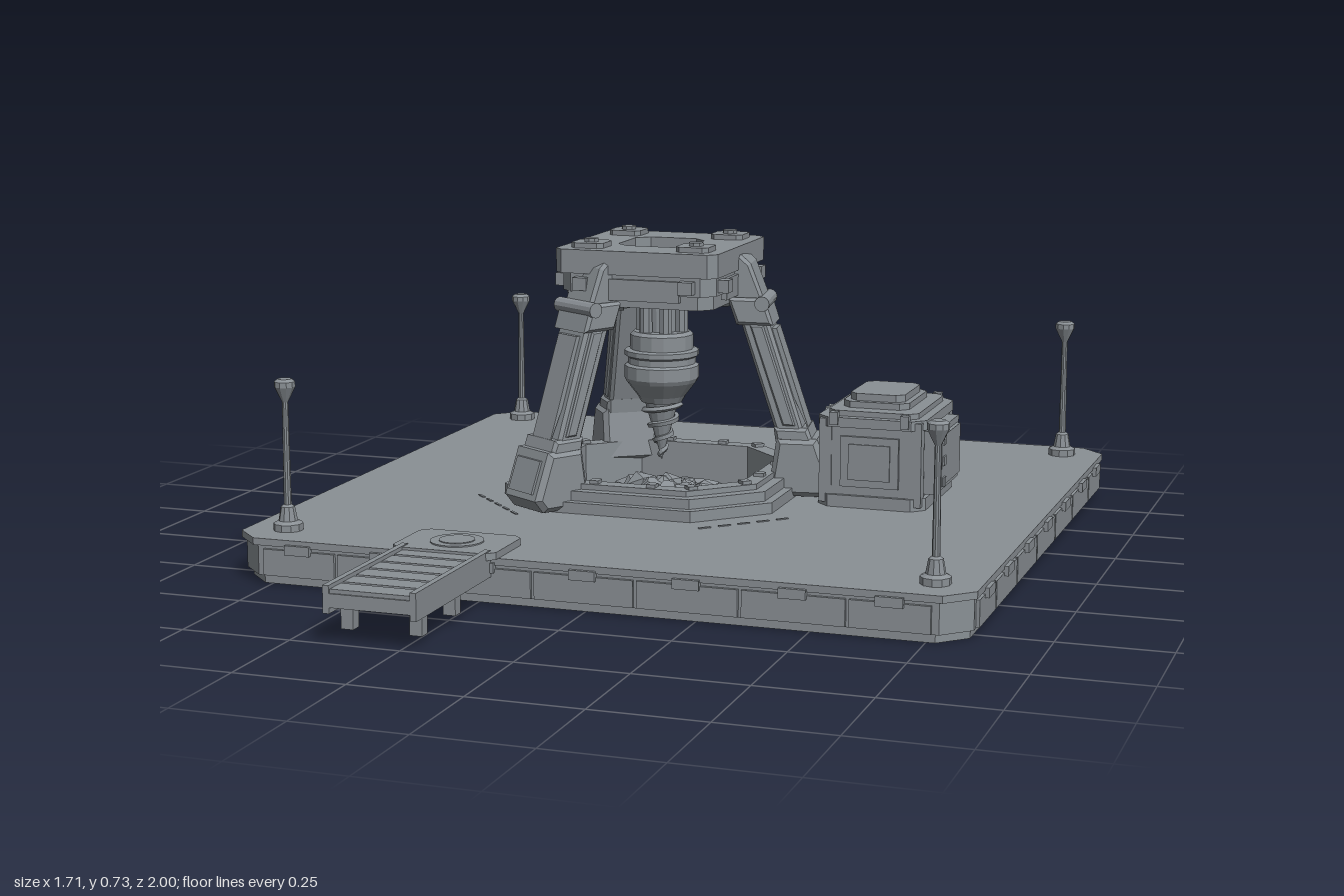
import * as THREE from 'three';

const metal = new THREE.MeshStandardMaterial({ color: 0x8a9095 });
metal.name = 'grey metal';

function add(parent, name, geo, x = 0, y = 0, z = 0) {
  const m = new THREE.Mesh(geo.index ? geo.toNonIndexed() : geo, metal);
  if (geo.userData.flat !== false) m.geometry.computeVertexNormals();
  m.name = name;
  m.position.set(x, y, z);
  parent.add(m);
  return m;
}
const box = (p, name, w, h, d, x, y, z) => add(p, name, new THREE.BoxGeometry(w, h, d), x, y, z);
function cyl(p, name, rt, rb, h, x, y, z, n = 12) {
  const g = new THREE.CylinderGeometry(rt, rb, h, n);
  g.userData.flat = n < 16;
  const m = add(p, name, g, x, y, z);
  if (n >= 16) m.geometry = g;
  return m;
}

// Corner points of a rectangle with cut corners
const cut = (hx, hz, c, x = 0, z = 0) => [
  [hx - c, -hz], [hx, c - hz], [hx, hz - c], [hx - c, hz],
  [c - hx, hz], [-hx, hz - c], [-hx, c - hz], [c - hx, -hz],
].map(([a, b]) => new THREE.Vector2(a + x, b + z));

// Horizontal plate between two heights, with an optional hole
function slab(p, name, pts, y0, y1, hole) {
  const s = new THREE.Shape(pts);
  if (hole) s.holes.push(new THREE.Path(hole));
  const g = new THREE.ExtrudeGeometry(s, { depth: y1 - y0, bevelEnabled: false });
  g.rotateX(Math.PI / 2);
  return add(p, name, g, 0, y1, 0);
}

// Upright profile given width along z
function profile(p, name, pts, width, bevel = 0.008) {
  const g = new THREE.ExtrudeGeometry(new THREE.Shape(pts.map(q => new THREE.Vector2(...q))), {
    depth: width - 2 * bevel, bevelEnabled: bevel > 0, bevelThickness: bevel,
    bevelSize: bevel, bevelOffset: -bevel, bevelSegments: 1 });
  g.translate(0, 0, bevel - width / 2);
  return add(p, name, g);
}

const CX = -0.095, CZ = -0.182, PZ = -0.19;

function platform(root) {
  const g = new THREE.Group();
  g.name = 'platform';
  const pit = cut(0.25, 0.25, 0.11, CX, CZ);
  slab(g, 'underside', cut(0.83, 0.78, 0.06, 0, PZ), 0, 0.02);
  slab(g, 'pitFloor', cut(0.27, 0.27, 0.11, CX, CZ), 0.02, 0.04);
  slab(g, 'platformBody', cut(0.84, 0.79, 0.06, 0, PZ), 0.02, 0.09, pit);
  slab(g, 'deck', cut(0.848, 0.798, 0.06, 0, PZ), 0.09, 0.106, pit);
  // side panels with clips
  for (const [count, half, other, turn] of [[7, 0.84, 0.79, 0], [7, 0.79, 0.84, 1]]) {
    for (const s of [-1, 1]) {
      const side = new THREE.Group();
      side.name = 'sidePanels';
      side.position.z = PZ;
      side.rotation.y = turn * Math.PI / 2 + (s < 0 ? Math.PI : 0);
      const step = (2 * half - 0.04) / count;
      for (let i = 0; i < count; i++) {
        const x = (i - (count - 1) / 2) * step, end = i === 0 || i === count - 1;
        const w = step - (end ? 0.06 : 0.008), sx = x + (end ? -Math.sign(x) * 0.026 : 0);
        box(side, 'sidePanel', w, 0.06, 0.01, sx, 0.052, other + 0.003);
        box(side, 'edgeClip', 0.06, 0.022, 0.014, sx, 0.085, other + 0.01);
      }
      g.add(side);
    }
  }
  root.add(g);
}

function basin(root) {
  const g = new THREE.Group();
  g.name = 'basin';
  const hole = cut(0.25, 0.25, 0.11, CX, CZ);
  slab(g, 'basinFoot', cut(0.335, 0.335, 0.15, CX, CZ), 0.106, 0.132, hole);
  slab(g, 'basinRim', cut(0.315, 0.315, 0.14, CX, CZ), 0.132, 0.155, hole);
  slab(g, 'basinLip', cut(0.29, 0.29, 0.13, CX, CZ), 0.155, 0.168, hole);
  for (let i = 0; i < 8; i++) {
    const arm = new THREE.Group();
    arm.name = 'rimFittings';
    arm.position.set(CX, 0, CZ);
    arm.rotation.y = i * Math.PI / 4;
    const r = i % 2 ? 0.3 : 0.27;
    for (const z of [-0.07, 0.07]) box(arm, 'rimClip', 0.025, 0.012, 0.022, r, 0.17, z);
    if (i % 2) for (let k = -2; k <= 2; k++) box(arm, 'deckDash', 0.006, 0.003, 0.03, 0.43, 0.107, k * 0.05);
    g.add(arm);
  }
  // heap of loose rock
  let seed = 7;
  const rnd = () => (seed = (seed * 16807) % 2147483647) / 2147483647;
  for (let i = 0; i < 64; i++) {
    const a = i * 2.4, r = 0.215 * Math.sqrt(i / 64), size = 0.022 + rnd() * 0.026;
    const y = 0.05 + 0.07 * (1 - r / 0.22) * (0.7 + 0.3 * rnd());
    const m = add(g, 'rock', i % 2 ? new THREE.DodecahedronGeometry(size) : new THREE.IcosahedronGeometry(size),
      CX + r * Math.cos(a), y, CZ + r * Math.sin(a));
    m.rotation.set(rnd() * 6, rnd() * 6, rnd() * 6);
    m.scale.set(1, 0.8 + rnd() * 0.4, 0.9);
  }
  add(g, 'rockHeap', new THREE.ConeGeometry(0.2, 0.08, 9), CX, 0.08, CZ);
  root.add(g);
}

function leg(root, degrees) {
  const g = new THREE.Group();
  g.name = 'leg';
  g.position.set(CX, 0, CZ);
  g.rotation.y = -degrees * Math.PI / 180;
  profile(g, 'legBeam', [[0.305, 0.2], [0.372, 0.2], [0.25, 0.58], [0.182, 0.58]], 0.11);
  profile(g, 'legFrontPlate', [[0.36, 0.27], [0.362, 0.27], [0.283, 0.51], [0.25, 0.51]], 0.07, 0);
  profile(g, 'legSidePlate', [[0.302, 0.28], [0.332, 0.28], [0.254, 0.52], [0.222, 0.52]], 0.122, 0.004);
  profile(g, 'legCollar', [[0.19, 0.52], [0.278, 0.52], [0.257, 0.585], [0.168, 0.585]], 0.13);
  profile(g, 'shoulder', [[0.15, 0.56], [0.258, 0.57], [0.222, 0.665], [0.2, 0.685], [0.14, 0.685]], 0.105);
  profile(g, 'foot', [[0.27, 0.13], [0.3, 0.11], [0.4, 0.11], [0.424, 0.14], [0.385, 0.25], [0.288, 0.25]], 0.14, 0.012);
  profile(g, 'ankle', [[0.285, 0.24], [0.375, 0.24], [0.362, 0.275], [0.28, 0.275]], 0.122);
  profile(g, 'footPlate', [[0.38, 0.15], [0.425, 0.155], [0.398, 0.23], [0.36, 0.23]], 0.09, 0);
  cyl(g, 'hingePin', 0.018, 0.018, 0.14, 0.252, 0.572, 0).rotation.x = Math.PI / 2;
  root.add(g);
}

function head(root) {
  const g = new THREE.Group();
  g.name = 'head';
  g.position.set(CX, 0, CZ);
  const hole = cut(0.088, 0.088, 0.03);
  slab(g, 'headSkirt', cut(0.18, 0.18, 0.03), 0.572, 0.605);
  slab(g, 'headBlock', cut(0.19, 0.19, 0.03), 0.605, 0.65);
  slab(g, 'headTop', cut(0.2, 0.2, 0.02), 0.65, 0.706, hole);
  cyl(g, 'shaftRing', 0.07, 0.07, 0.016, 0, 0.655, 0, 24);
  cyl(g, 'shaftCap', 0.045, 0.045, 0.02, 0, 0.663, 0, 24);
  for (const x of [-1, 1]) for (const z of [-1, 1]) {
    slab(g, 'cornerPad', cut(0.04, 0.04, 0.012, x * 0.13, z * 0.13), 0.706, 0.718);
    cyl(g, 'padBolt', 0.018, 0.018, 0.01, x * 0.13, 0.721, z * 0.13, 8);
  }
  for (let i = 0; i < 4; i++) {
    const side = new THREE.Group();
    side.name = 'headSide';
    side.rotation.y = i * Math.PI / 2;
    box(side, 'sideBand', 0.014, 0.05, 0.22, 0.192, 0.615, 0);
    for (const z of [-0.13, 0.13]) box(side, 'sideBolt', 0.03, 0.03, 0.035, 0.2, 0.627, z);
    g.add(side);
  }
  root.add(g);
}

function drill(root) {
  const g = new THREE.Group();
  g.name = 'drill';
  g.position.set(CX, 0, CZ);
  for (let i = 0; i < 6; i++) {
    const a = i * Math.PI / 3;
    cyl(g, 'pistonRod', 0.016, 0.016, 0.1, 0.05 * Math.cos(a), 0.53, 0.05 * Math.sin(a), 8);
  }
  cyl(g, 'shaft', 0.04, 0.04, 0.1, 0, 0.53, 0);
  const prof = [[0, 0.32], [0.05, 0.32], [0.058, 0.335], [0.085, 0.37], [0.09, 0.38], [0.09, 0.41],
    [0.082, 0.415], [0.082, 0.43], [0.09, 0.435], [0.09, 0.447], [0.076, 0.45], [0.076, 0.485], [0.068, 0.493], [0, 0.493]];
  add(g, 'drillHousing', new THREE.LatheGeometry(prof.map(p => new THREE.Vector2(...p)), 16));
  const bit = add(g, 'drillBit', new THREE.ConeGeometry(0.043, 0.15, 12), 0, 0.25, 0);
  bit.rotation.x = Math.PI;
  // spiral cutting edge
  const pts = [];
  for (let i = 0; i <= 40; i++) {
    const t = i / 40, r = 0.046 * (1 - t) + 0.003, a = t * Math.PI * 7;
    pts.push(new THREE.Vector3(r * Math.cos(a), 0.315 - 0.13 * t, r * Math.sin(a)));
  }
  add(g, 'drillThread', new THREE.TubeGeometry(new THREE.CatmullRomCurve3(pts), 100, 0.007, 4));
  root.add(g);
}

function crate(root) {
  const g = new THREE.Group();
  g.name = 'powerUnit';
  g.position.set(0.44, 0, -0.28);
  slab(g, 'unitBody', cut(0.12, 0.155, 0.02), 0.106, 0.32);
  slab(g, 'unitTop', cut(0.108, 0.143, 0.02), 0.32, 0.333);
  for (const [y0, y1] of [[0.106, 0.135], [0.297, 0.32]]) slab(g, 'unitFrame', cut(0.13, 0.165, 0.03), y0, y1);
  slab(g, 'lidBase', cut(0.08, 0.105, 0.02, -0.005, -0.005), 0.333, 0.348);
  slab(g, 'lid', cut(0.066, 0.09, 0.018, -0.005, -0.005), 0.348, 0.365);
  for (const x of [-1, 1]) for (const z of [-1, 1]) {
    box(g, 'cornerPost', 0.03, 0.2, 0.03, x * 0.108, 0.215, z * 0.143);
    box(g, 'topClip', 0.02, 0.03, 0.02, x * 0.085, 0.318, z * 0.163);
  }
  for (const s of [-1, 1]) {
    box(g, 'endPanel', 0.14, 0.12, 0.012, 0, 0.216, s * 0.158);
    box(g, 'endInset', 0.1, 0.085, 0.008, 0, 0.216, s * 0.164);
  }
  box(g, 'outerPanel', 0.03, 0.15, 0.23, 0.134, 0.215, 0);
  box(g, 'outerInset', 0.012, 0.12, 0.19, 0.152, 0.215, 0);
  for (const y of [0.165, 0.215, 0.265]) box(g, 'panelLatch', 0.01, 0.022, 0.022, 0.157, y, 0.075);
  box(g, 'innerPanel', 0.014, 0.12, 0.22, -0.122, 0.215, 0);
  for (const z of [-0.1, -0.07]) cyl(g, 'cable', 0.01, 0.01, 0.05, -0.145, 0.29, z, 8).rotation.z = Math.PI / 2;
  root.add(g);
}

function gangway(root) {
  const g = new THREE.Group();
  g.name = 'gangway';
  const x = -0.317;
  slab(g, 'landingPlate', cut(0.122, 0.09, 0.02, x, 0.55), 0.106, 0.122);
  cyl(g, 'landingDisc', 0.06, 0.06, 0.004, x, 0.123, 0.55, 24);
  cyl(g, 'landingHub', 0.04, 0.04, 0.006, x, 0.124, 0.55, 24);
  box(g, 'walkway', 0.2, 0.03, 0.38, x, 0.092, 0.81);
  for (let i = 0; i < 6; i++) box(g, 'walkwaySlat', 0.18, 0.01, 0.052, x, 0.111, 0.655 + i * 0.063);
  for (const s of [-1, 1]) {
    box(g, 'walkwayRail', 0.014, 0.06, 0.39, x + s * 0.098, 0.094, 0.805);
    for (const z of [0.76, 0.93]) box(g, 'walkwayLeg', 0.028, 0.055, 0.028, x + s * 0.078, 0.045, z);
  }
  root.add(g);
}

function lamp(root, x, z) {
  const prof = [[0, 0.106], [0.034, 0.106], [0.034, 0.122], [0.022, 0.128], [0.016, 0.16], [0.009, 0.165],
    [0.007, 0.4], [0.012, 0.41], [0.024, 0.435], [0.024, 0.447], [0.016, 0.453], [0, 0.453]];
  add(root, 'lampPost', new THREE.LatheGeometry(prof.map(p => new THREE.Vector2(...p)), 10), x, 0, z);
}

export function createModel() {
  const root = new THREE.Group();
  root.name = 'drillingPlatform';
  platform(root);
  basin(root);
  for (const d of [-9, 122, 235]) leg(root, d);
  head(root);
  drill(root);
  crate(root);
  gangway(root);
  for (const x of [-0.75, 0.75]) for (const z of [-0.89, 0.51]) lamp(root, x, z);
  return root;
}
